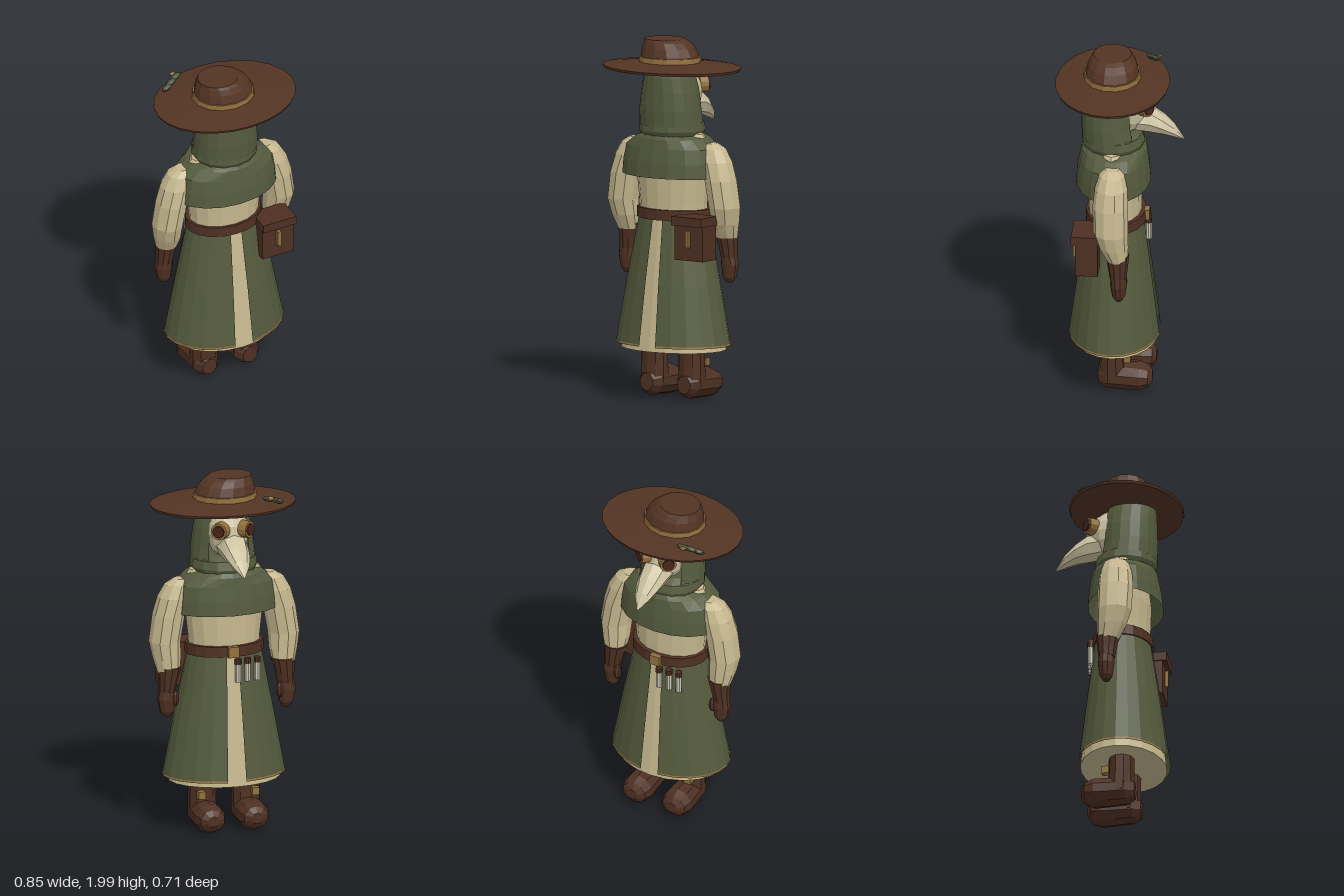
import * as THREE from 'three';

const mat = (name, color, side = THREE.FrontSide) =>
  Object.assign(new THREE.MeshStandardMaterial({ color, side, flatShading: true }), { name });

// Skin elliptical rings [y, centreX, centreZ, radiusX, radiusZ], listed upwards.
// start/arc leave an opening; angle 0 points to +z and grows towards +x.
function loft(rings, sides = 12, { start = 0, arc = Math.PI * 2, caps = true } = {}) {
  const pos = [];
  const point = ([y, cx, cz, rx, rz], i) => {
    const a = start + (arc * i) / sides;
    return [cx + rx * Math.sin(a), y, cz + rz * Math.cos(a)];
  };
  const tri = (a, b, c) => pos.push(...a, ...b, ...c);
  const top = rings[rings.length - 1], bottom = rings[0];
  for (let i = 0; i < sides; i++) {
    for (let r = 0; r < rings.length - 1; r++) {
      const a = point(rings[r], i), b = point(rings[r], i + 1);
      const c = point(rings[r + 1], i + 1), d = point(rings[r + 1], i);
      tri(a, b, c);
      tri(a, c, d);
    }
    if (caps) {
      tri([top[1], top[0], top[2]], point(top, i), point(top, i + 1));
      tri([bottom[1], bottom[0], bottom[2]], point(bottom, i + 1), point(bottom, i));
    }
  }
  const g = new THREE.BufferGeometry();
  g.setAttribute('position', new THREE.Float32BufferAttribute(pos, 3));
  g.computeVertexNormals();
  return g;
}

// Same, but running towards -z: rings [-z, centreX, centreY, radiusX, radiusY]
const loftForward = (rings, sides) => loft(rings, sides).rotateX(-Math.PI / 2);

export function createModel() {
  const model = new THREE.Group();
  model.name = 'beakedDoctor';
  const green = mat('greenCloth', 0x545a3d, THREE.DoubleSide);
  const cream = mat('creamLinen', 0xc6b88f);
  const bone = mat('boneMask', 0xcdc3a2);
  const felt = mat('brownFelt', 0x533423);
  const leather = mat('brownLeather', 0x4e3022);
  const gold = mat('agedBrass', 0x92703c, THREE.DoubleSide);
  const lens = mat('darkLens', 0x45241a);
  const leaf = mat('leafGreen', 0x4b523a);
  const glass = mat('paleGlass', 0xc9c6b4);

  const add = (name, geometry, material, x = 0, y = 0, z = 0) => {
    const m = new THREE.Mesh(geometry, material);
    m.name = name;
    m.position.set(x, y, z);
    model.add(m);
    return m;
  };
  const box = (name, w, h, d, material, x, y, z) =>
    add(name, new THREE.BoxGeometry(w, h, d), material, x, y, z);
  const ball = (name, rx, ry, rz, material, x, y, z) =>
    add(name, new THREE.SphereGeometry(1, 8, 6).scale(rx, ry, rz), material, x, y, z);

  // Hat: wide oval brim, brass band, leaning crown
  add('hatBrim', loft([[1.836, 0, 0.04, 0.405, 0.31], [1.85, 0, 0.04, 0.41, 0.315],
    [1.875, -0.01, 0.042, 0.18, 0.158]], 24), felt);
  add('hatCrown', loft([[1.86, -0.012, 0.043, 0.172, 0.152], [1.91, -0.012, 0.043, 0.168, 0.148],
    [1.955, -0.02, 0.043, 0.152, 0.135], [1.985, -0.032, 0.045, 0.13, 0.118],
    [2, -0.045, 0.045, 0.115, 0.105]], 14), felt);
  add('hatBand', loft([[1.87, -0.012, 0.043, 0.179, 0.159], [1.904, -0.012, 0.043, 0.176, 0.156]], 14), gold);

  // Sprig pinned to the brim
  [[-0.262, 1.878, -0.142], [-0.228, 1.892, -0.16], [-0.19, 1.905, -0.18]].forEach(([x, y, z]) => {
    ball('sprigLeaf', 0.038, 0.014, 0.018, leaf, x, y, z).rotation.set(0, 0.3, 0.25);
  });
  ball('sprigBud', 0.02, 0.013, 0.01, gold, -0.2, 1.912, -0.2);

  // Hood: open at the face, closed around the neck
  add('hood', loft([[1.53, 0, 0.045, 0.184, 0.165], [1.62, 0, 0.055, 0.176, 0.158],
    [1.72, 0, 0.055, 0.162, 0.155], [1.8, 0, 0.06, 0.142, 0.148], [1.86, 0, 0.065, 0.122, 0.138]], 14,
  { start: -Math.PI + 0.7, arc: 2 * Math.PI - 1.4, caps: false }), green);
  add('hoodCollar', loft([[1.45, 0, 0.03, 0.165, 0.155], [1.5, 0, 0.035, 0.188, 0.175],
    [1.545, 0, 0.04, 0.183, 0.165], [1.57, 0, 0.05, 0.155, 0.135]], 14), green);

  // Mask with beak and goggles
  add('mask', new THREE.SphereGeometry(1, 12, 8).scale(0.118, 0.145, 0.135), bone, 0, 1.7, -0.035);
  add('beak', loftForward([[0.09, 0, 1.64, 0.085, 0.075], [0.17, 0, 1.632, 0.08, 0.078],
    [0.24, 0, 1.603, 0.069, 0.056], [0.3, 0, 1.565, 0.045, 0.036], [0.355, 0, 1.514, 0.004, 0.005]], 8), bone);
  for (const s of [-1, 1]) {
    const n = new THREE.Vector3(0.62 * s, 0.05, -0.78).normalize();
    [['goggleRim', 0.05, 0.05, gold, 0], ['goggleLens', 0.036, 0.016, lens, 0.025]].forEach(([name, r, h, m, out]) => {
      const eye = add(name, new THREE.CylinderGeometry(r * 0.92, r, h, 12), m);
      eye.position.set(0.075 * s, 1.735, -0.148).addScaledVector(n, out);
      eye.quaternion.setFromUnitVectors(new THREE.Vector3(0, 1, 0), n);
    });
  }

  // Torso and shoulder cape
  add('torso', loft([[1.02, 0, 0.025, 0.2, 0.145], [1.1, 0, 0.025, 0.205, 0.147], [1.25, 0, 0.027, 0.222, 0.15],
    [1.4, 0, 0.03, 0.25, 0.13], [1.485, 0, 0.03, 0.2, 0.085], [1.52, 0, 0.03, 0.1, 0.07]], 16), cream);
  add('shoulderCape', loft([[1.25, 0, 0.035, 0.305, 0.207], [1.33, 0, 0.034, 0.3, 0.2],
    [1.41, 0, 0.032, 0.285, 0.187], [1.46, 0, 0.03, 0.22, 0.18], [1.485, 0, 0.03, 0.16, 0.165]], 18,
  { caps: false }), green);

  // Skirts: cream underskirt, coat split at front and back with brass hem
  add('underskirt', loft([[0.288, 0, 0.023, 0.315, 0.238], [1.01, 0, 0.02, 0.196, 0.146]], 20), cream);
  for (const start of [0.155, Math.PI + 0.155]) {
    const half = { start, arc: Math.PI - 0.31, caps: false };
    add('coatSkirt', loft([[0.315, 0, 0.027, 0.345, 0.252], [0.65, 0, 0.025, 0.283, 0.21],
      [1.02, 0, 0.02, 0.208, 0.158]], 10, half), green);
    add('coatHem', loft([[0.317, 0, 0.027, 0.348, 0.255], [0.327, 0, 0.027, 0.346, 0.253]], 10, half), gold);
  }

  // Belt, buckle and hanging vials
  add('belt', loft([[1.01, 0, 0.02, 0.222, 0.168], [1.068, 0, 0.02, 0.22, 0.165]], 18), leather);
  box('beltBuckle', 0.06, 0.06, 0.025, gold, 0, 1.04, -0.152);
  [-0.025, -0.083, -0.14].forEach((x, i) => {
    const z = -0.156 + i * 0.008;
    add('vial', new THREE.CylinderGeometry(0.017, 0.017, 0.1, 8), glass, x, 0.92, z);
    add('vialCap', new THREE.CylinderGeometry(0.019, 0.019, 0.03, 8), leather, x, 0.985, z);
  });

  // Satchel on the rear of the belt
  box('satchel', 0.19, 0.23, 0.125, leather, 0.238, 0.922, 0.155);
  box('satchelFlap', 0.203, 0.05, 0.15, leather, 0.238, 1.025, 0.165);
  box('satchelClasp', 0.022, 0.095, 0.02, gold, 0.238, 0.928, 0.227);

  for (const s of [-1, 1]) {
    // Sleeves, gloves and thumbs
    add('sleeve', loft([[0.92, 0.33 * s, -0.015, 0.062, 0.06], [1.0, 0.335 * s, 0.005, 0.078, 0.082],
      [1.09, 0.342 * s, 0.02, 0.087, 0.096], [1.24, 0.318 * s, 0.024, 0.09, 0.098],
      [1.34, 0.288 * s, 0.022, 0.092, 0.09], [1.41, 0.265 * s, 0.02, 0.075, 0.07],
      [1.44, 0.25 * s, 0.02, 0.04, 0.04]], 10), cream);
    add('gloveCuff', loft([[0.81, 0.342 * s, -0.02, 0.047, 0.046], [0.86, 0.337 * s, -0.02, 0.052, 0.053],
      [0.95, 0.326 * s, -0.016, 0.066, 0.066]], 10), leather);
    add('gloveHand', loft([[0.672, 0.342 * s, -0.024, 0.02, 0.018], [0.7, 0.343 * s, -0.024, 0.04, 0.036],
      [0.77, 0.345 * s, -0.024, 0.052, 0.046], [0.83, 0.342 * s, -0.022, 0.045, 0.042]], 10), leather);
    ball('gloveThumb', 0.022, 0.045, 0.024, leather, 0.3 * s, 0.775, -0.045);

    // Boots with ankle buckles
    const x = 0.125 * s;
    add('bootShaft', loft([[0.08, x, 0.025, 0.08, 0.078], [0.2, x, 0.028, 0.078, 0.072],
      [0.34, x, 0.03, 0.075, 0.07]], 10), leather);
    add('bootFoot', loftForward([[-0.105, x, 0.095, 0.045, 0.05], [-0.06, x, 0.095, 0.077, 0.078],
      [0.04, x, 0.094, 0.082, 0.083], [0.12, x, 0.092, 0.087, 0.083], [0.17, x, 0.092, 0.072, 0.062],
      [0.192, x, 0.092, 0.035, 0.03]], 10), leather);
    box('bootBuckle', 0.04, 0.042, 0.04, gold, 0.155 * s, 0.213, -0.055);
  }
  return model;
}
